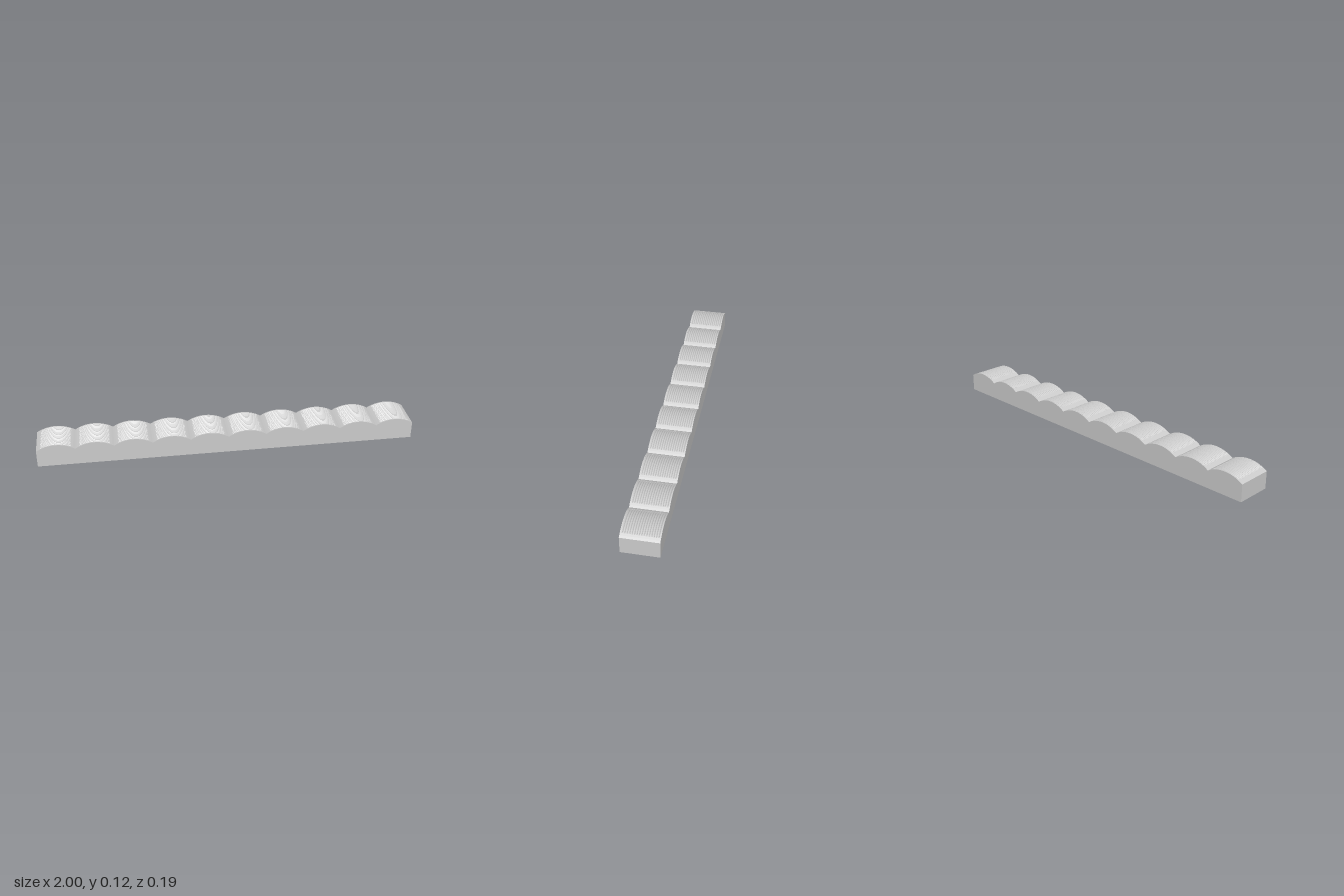
import * as THREE from 'three';

const BAYS = 10, PITCH = 0.2, HALF_Z = 0.095, WALL = 0.005;
const VALLEY = 0.092, RISE = 0.03, RIBS = 17, GROOVE = 0.004;
const RADIUS = (0.01 + RISE * RISE) / (2 * RISE);

// Height of the arched roof at distance u from the middle of a bay
const arch = (u) => VALLEY + RISE - RADIUS + Math.sqrt(RADIUS * RADIUS - u * u);

// Grid surface from a point rule, with s along x and t along z, facing up
function sheet(ns, nt, point) {
  const pos = [], index = [];
  for (let i = 0; i <= ns; i++)
    for (let j = 0; j <= nt; j++) pos.push(...point(i / ns, j / nt));
  for (let i = 0; i < ns; i++)
    for (let j = 0; j < nt; j++) {
      const a = i * (nt + 1) + j, b = a + nt + 1;
      index.push(a, a + 1, b, b, a + 1, b + 1);
    }
  const g = new THREE.BufferGeometry();
  g.setAttribute('position', new THREE.Float32BufferAttribute(pos, 3));
  g.setIndex(index);
  g.computeVertexNormals();
  return g;
}

export function createModel() {
  const model = new THREE.Group();
  const flat = new THREE.MeshStandardMaterial({ color: 0xcccccc, flatShading: true, side: THREE.DoubleSide });
  const add = (name, geometry, x = 0, y = 0, z = 0) => {
    const mesh = new THREE.Mesh(geometry, flat);
    mesh.name = name;
    mesh.position.set(x, y, z);
    model.add(mesh);
  };

  // Long side walls with the scalloped top edge
  const outline = new THREE.Shape();
  outline.moveTo(-1, 0);
  outline.lineTo(1, 0);
  for (let b = BAYS - 1; b >= 0; b--)
    for (let i = 0; i <= 16; i++) {
      const u = 0.1 - (i / 16) * PITCH;
      outline.lineTo(-0.9 + b * PITCH + u, arch(u));
    }
  const side = new THREE.ExtrudeGeometry(outline, { depth: WALL, bevelEnabled: false });
  add('frontWall', side, 0, 0, HALF_Z - WALL);
  add('backWall', side, 0, 0, -HALF_Z);

  // End walls and the partitions under each valley
  const cross = new THREE.BoxGeometry(WALL, VALLEY, 2 * (HALF_Z - WALL));
  for (let i = 0; i <= BAYS; i++) {
    const shift = i === 0 ? WALL / 2 : i === BAYS ? -WALL / 2 : 0;
    add(i % BAYS ? 'partition' : 'endWall', cross, -1 + i * PITCH + shift, VALLEY / 2, 0);
  }

  // Arched roof with ribs following the curve, fading out beside the valleys
  const roof = sheet(20, RIBS * 6, (s, t) => {
    const u = (s - 0.5) * PITCH;
    const fade = 1 - THREE.MathUtils.smoothstep(Math.abs(u), 0.07, 0.08);
    const dip = GROOVE * fade * (1 - Math.abs(Math.sin(t * RIBS * Math.PI)));
    return [u, arch(u) - dip, (t - 0.5) * 2 * HALF_Z];
  });
  // Smooth vault closing the hollow from inside
  const vault = sheet(16, 1, (s, t) => {
    const u = (s - 0.5) * PITCH;
    return [u, arch(u) - WALL - 0.001, (t - 0.5) * 2 * (HALF_Z - WALL)];
  });
  for (let b = 0; b < BAYS; b++) {
    add('ribbedRoof', roof, -0.9 + b * PITCH);
    add('innerVault', vault, -0.9 + b * PITCH);
  }
  return model;
}
